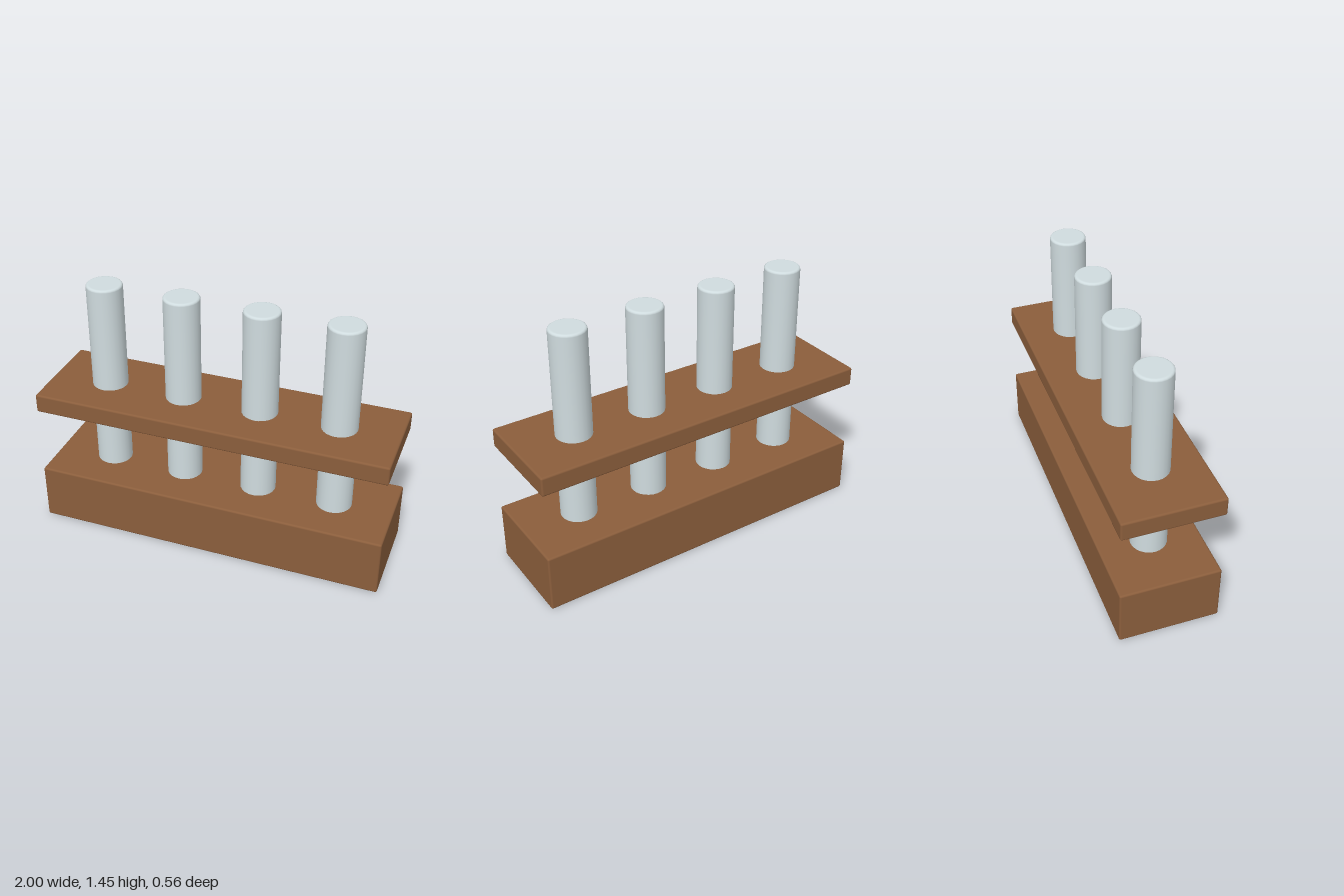
import * as THREE from 'three';
import { RoundedBoxGeometry } from 'three/addons/geometries/RoundedBoxGeometry.js';

export function createModel() {
  const group = new THREE.Group();
  const wood = new THREE.MeshStandardMaterial({ name: 'brown wood', color: 0x8b5e3c });
  const glass = new THREE.MeshStandardMaterial({ name: 'pale glass', color: 0xd0dcdf });

  const add = (name, geometry, material, x, y) => {
    const mesh = new THREE.Mesh(geometry, material);
    mesh.name = name;
    mesh.position.set(x, y, 0);
    group.add(mesh);
  };

  // Wooden slabs, given by their bottom and top heights
  const slab = (name, bottom, top) => add(name,
    new RoundedBoxGeometry(2, top - bottom, 0.555, 2, 0.011), wood, 0, (bottom + top) / 2);
  slab('base', 0, 0.334);
  slab('upperShelf', 0.724, 0.834);

  // Tube profile: flat bottom sunk in the base, straight wall, rounded top rim
  const radius = 0.1, height = 1.335, bevel = 0.013;
  const profile = [new THREE.Vector2(0, 0), new THREE.Vector2(radius, 0), new THREE.Vector2(radius, 0.01)];
  for (let i = 0; i <= 4; i++) {
    const a = (i / 4) * Math.PI / 2;
    profile.push(new THREE.Vector2(
      radius - bevel + bevel * Math.cos(a), height - bevel + bevel * Math.sin(a)));
  }
  profile.push(new THREE.Vector2(radius - bevel - 0.004, height), new THREE.Vector2(0, height));
  const tube = new THREE.LatheGeometry(profile, 24);

  // Four evenly spaced tubes
  for (let i = 0; i < 4; i++) add('tube' + (i + 1), tube, glass, -0.667 + i * 0.4447, 0.111);

  return group;
}
